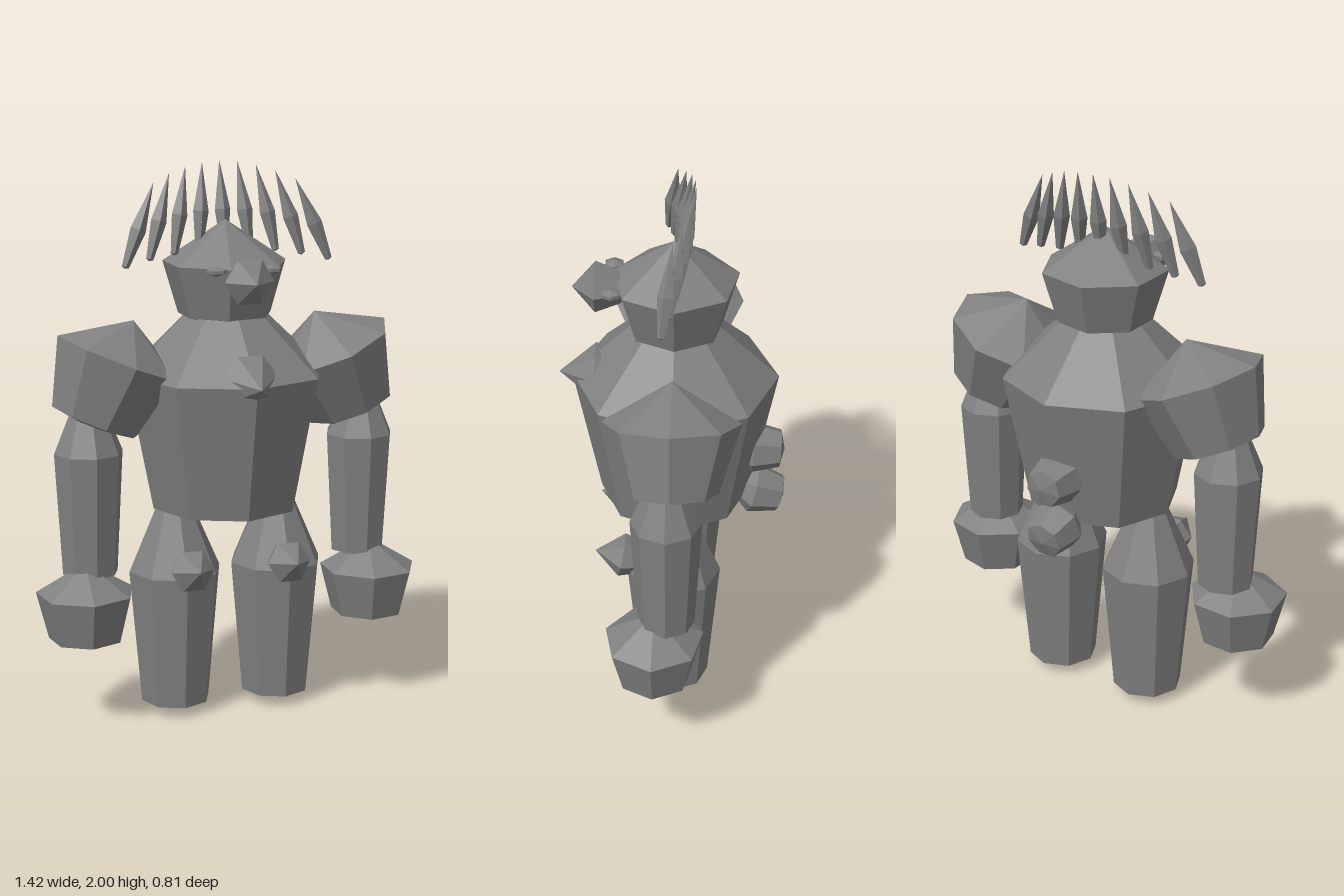
import * as THREE from 'three';

const stone = new THREE.MeshStandardMaterial({ color: 0x808080, flatShading: true });
stone.name = 'stoneGrey';

const UP = new THREE.Vector3(0, 1, 0);

// Faceted solid of revolution: profile is [radius, height] pairs from bottom to top
function gem(name, profile, sides, position, axis = [0, 1, 0], turn = 0) {
  const points = profile.map(([r, y]) => new THREE.Vector2(r, y));
  const geometry = new THREE.LatheGeometry(points, sides, THREE.MathUtils.degToRad(turn));
  const mesh = new THREE.Mesh(geometry, stone);
  mesh.name = name;
  mesh.position.set(...position);
  mesh.quaternion.setFromUnitVectors(UP, new THREE.Vector3(...axis).normalize());
  return mesh;
}

export function createModel() {
  const model = new THREE.Group();
  model.name = 'stoneGolem';

  // Torso and head
  model.add(gem('torso', [[0, 0.73], [0.27, 0.77], [0.365, 1.26], [0, 1.61]], 8, [0, 0, 0]));
  model.add(gem('head', [[0, 1.43], [0.17, 1.465], [0.225, 1.65], [0, 1.8]], 7, [0, 0, 0], [0, 1, 0], -12.6));

  // Nose and chest spike, pointing forward
  model.add(gem('nose', [[0, -0.12], [0.055, -0.09], [0.088, 0], [0, 0.08]], 6, [0, 1.615, 0.275], [0, 0, 1], 30));
  model.add(gem('chestSpike', [[0, -0.1], [0.07, -0.08], [0.105, 0], [0, 0.13]], 7, [0, 1.265, 0.28], [0, 0, 1]));

  // Blunt studs on the back
  const stud = [[0, -0.12], [0.095, 0], [0.07, 0.1], [0, 0.115]];
  model.add(gem('upperBackStud', stud, 7, [0, 0.953, -0.28], [0, -0.05, -1]));
  model.add(gem('lowerBackStud', stud, 7, [0, 0.77, -0.285], [0, -0.25, -1]));

  for (const [side, s] of [['left', 1], ['right', -1]]) {
    // Flattened eyes
    const eye = gem(side + 'Eye', [[0, -0.018], [0.035, -0.006], [0.035, 0.006], [0, 0.018]], 6,
      [s * 0.1, 1.647, 0.215], [0, 1, 0], 30);
    model.add(eye);

    // Arm: shoulder tilted outward, straight forearm, broad fist
    model.add(gem(side + 'Shoulder', [[0, -0.27], [0.165, -0.24], [0.237, 0], [0, 0.14]], 8,
      [s * 0.39, 1.328, 0], [-s * 0.38, 0.925, 0]));
    model.add(gem(side + 'Arm', [[0, 0.54], [0.1, 0.56], [0.124, 1.0], [0, 1.3]], 8,
      [s * 0.51, 0, 0.015]));
    model.add(gem(side + 'Fist', [[0, 0.315], [0.135, 0.33], [0.178, 0.5], [0, 0.61]], 7,
      [s * 0.538, 0, 0.058], [0, 1, 0], s > 0 ? -14 : -4));

    // Leg and knee spike
    model.add(gem(side + 'Leg', [[0, 0.005], [0.127, 0.045], [0.17, 0.54], [0, 0.93]], 8,
      [s * 0.193, 0, 0]));
    model.add(gem(side + 'Knee', [[0, -0.1], [0.055, -0.08], [0.08, 0], [0, 0.098]], 6,
      [s * 0.18, 0.582, 0.19], [0, 0.2, 1], 30));
  }

  // Fan of nine leaf-shaped spikes across the head
  const crest = new THREE.Group();
  crest.name = 'crest';
  for (let i = -4; i <= 4; i++) {
    const k = (i / 4) ** 2;
    const base = new THREE.Vector3(i * 0.094, 1.69 - 0.045 * k, -0.015 + 0.05 * k);
    const tip = new THREE.Vector3(i * 0.065, 2 - 0.065 * k, -0.07 + 0.07 * k);
    const axis = tip.clone().sub(base);
    const length = axis.length();
    crest.add(gem('crestSpike', [[0, 0], [0.014, 0.006], [0.03, length * 0.45], [0, length]], 5,
      base.toArray(), axis.toArray()));
  }
  model.add(crest);

  return model;
}
